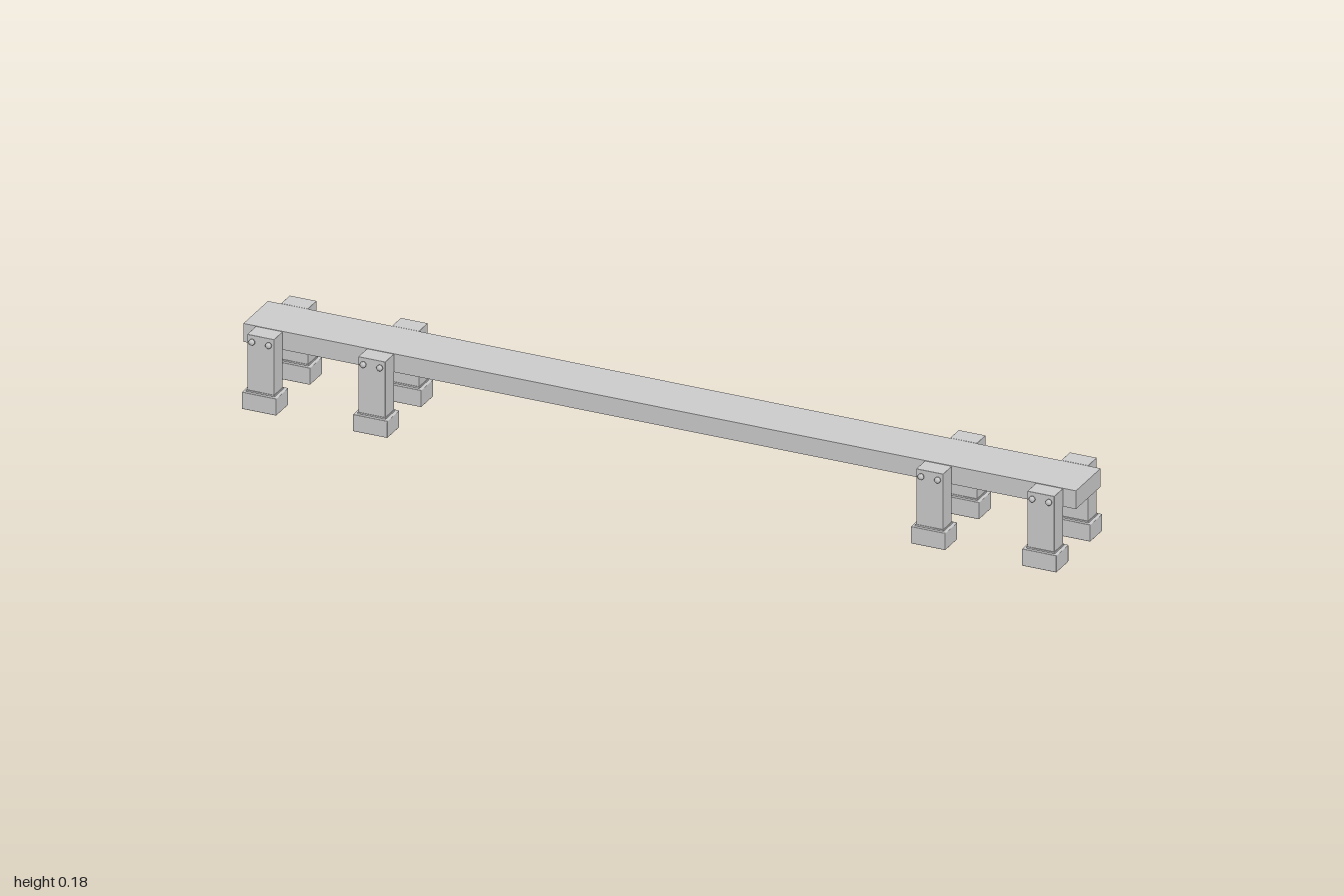
import * as THREE from 'three';
import { RoundedBoxGeometry } from 'three/addons/geometries/RoundedBoxGeometry.js';

const material = new THREE.MeshStandardMaterial({ color: 0xcccccc });

function add(parent, name, geometry, x, y, z) {
  const mesh = new THREE.Mesh(geometry, material);
  mesh.name = name;
  mesh.position.set(x, y, z);
  parent.add(mesh);
  return mesh;
}

// Domed bolt head, its axis turned to point outwards along +z
function boltGeometry() {
  const profile = [[0, 0], [0.007, 0], [0.007, 0.005], [0.005, 0.0075], [0, 0.008]]
    .map(([r, h]) => new THREE.Vector2(r, h));
  return new THREE.LatheGeometry(profile, 12).rotateX(Math.PI / 2);
}

export function createModel() {
  const model = new THREE.Group();
  model.name = 'beamOnLegs';

  // Long flat beam
  add(model, 'beam', new THREE.BoxGeometry(2, 0.044, 0.126), 0, 0.156, 0);

  const post = new RoundedBoxGeometry(0.065, 0.157, 0.045, 1, 0.0012);
  const collar = new THREE.BoxGeometry(0.068, 0.006, 0.048);
  const foot = new RoundedBoxGeometry(0.083, 0.041, 0.062, 1, 0.0015);
  const bolt = boltGeometry();

  // Four pairs of legs, bolted to the sides of the beam
  for (const x of [-0.937, -0.67, 0.67, 0.937]) {
    for (const side of [1, -1]) {
      const leg = new THREE.Group();
      leg.name = side > 0 ? 'frontLeg' : 'backLeg';
      leg.position.set(x, 0, side * 0.0865);
      if (side < 0) leg.rotation.y = Math.PI;
      add(leg, 'post', post, 0, 0.0995, 0);
      add(leg, 'collar', collar, 0, 0.0415, 0);
      add(leg, 'foot', foot, 0, 0.0205, 0);
      for (const dx of [-0.02, 0.02]) add(leg, 'bolt', bolt, dx, 0.162, 0.0225);
      model.add(leg);
    }
  }
  return model;
}
